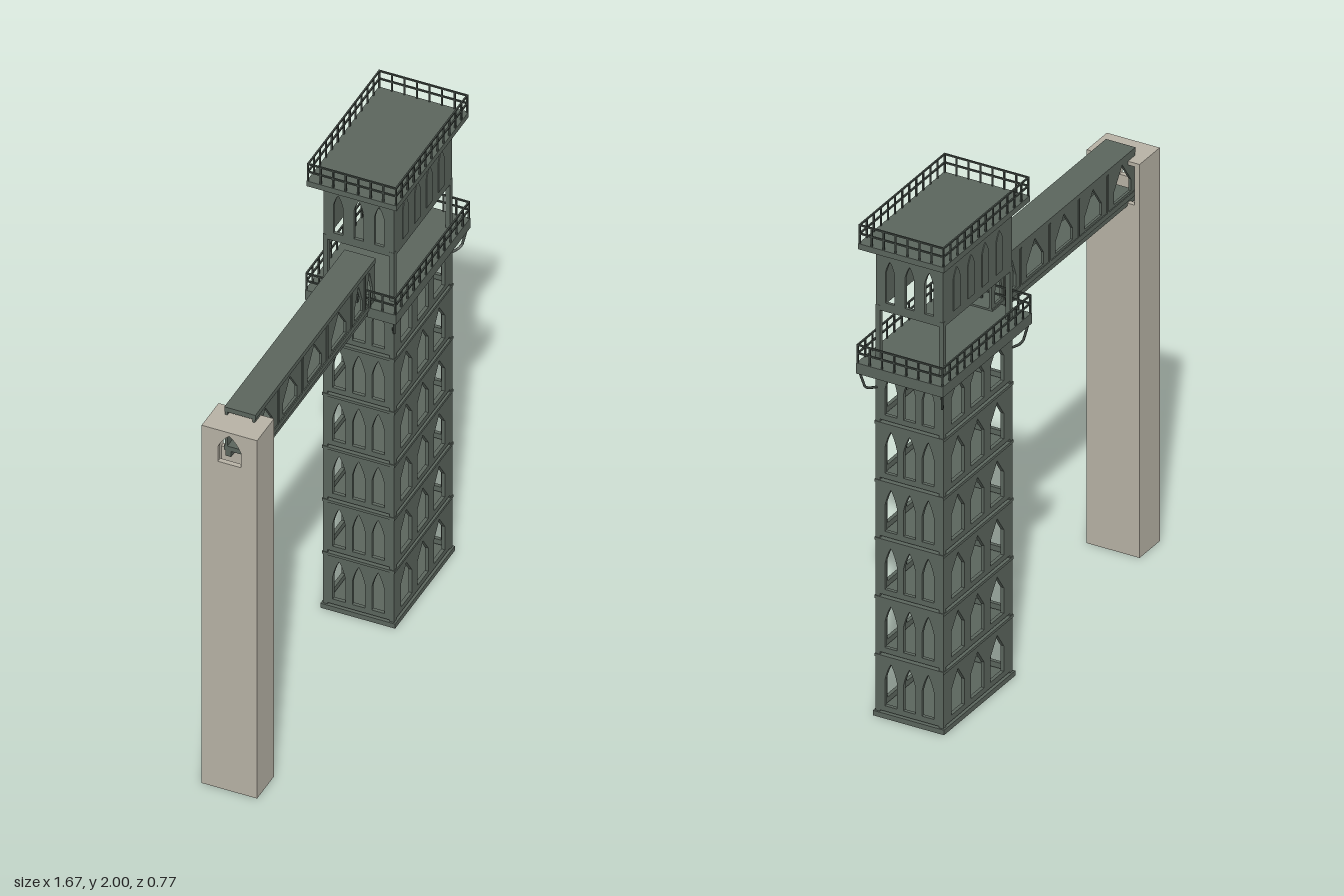
import * as THREE from 'three';
import { mergeGeometries } from 'three/addons/utils/BufferGeometryUtils.js';

const iron = new THREE.MeshStandardMaterial({ color: 0x5b655d });
iron.name = 'green iron';
const railPaint = new THREE.MeshStandardMaterial({ color: 0x414943 });
railPaint.name = 'dark railing';
const stone = new THREE.MeshStandardMaterial({ color: 0xb7b2a5 });
stone.name = 'pale stone';

const W = 0.486, D = 0.275;       // tower plan
const FLOORS = 6, STEP = 0.235, BASE = 0.02;

function add(parent, name, geo, mat, x = 0, y = 0, z = 0, ry = 0) {
  const m = new THREE.Mesh(geo, mat);
  m.name = name;
  m.position.set(x, y, z);
  m.rotation.y = ry;
  parent.add(m);
  return m;
}

// box given by its bottom and top heights
function slab(parent, name, mat, w, d, y0, y1, x = 0, z = 0) {
  return add(parent, name, new THREE.BoxGeometry(w, y1 - y0, d), mat, x, (y0 + y1) / 2, z);
}

// pointed opening; bulge > 0 curves the two sides of the head
function arch(Type, cx, y0, w, h, head, bulge = 0) {
  const p = new Type(), a = w / 2, ys = y0 + h - head;
  const qx = a * (0.5 + bulge), qy = ys + head * (0.5 + bulge);
  p.moveTo(cx - a, y0);
  p.lineTo(cx - a, ys);
  p.quadraticCurveTo(cx - qx, qy, cx, y0 + h);
  p.quadraticCurveTo(cx + qx, qy, cx + a, ys);
  p.lineTo(cx + a, y0);
  p.closePath();
  return p;
}

// upright panel centred on x and z, standing on y = 0
function panel(w, h, t, holes) {
  const s = new THREE.Shape();
  s.moveTo(-w / 2, 0);
  s.lineTo(w / 2, 0);
  s.lineTo(w / 2, h);
  s.lineTo(-w / 2, h);
  s.closePath();
  s.holes = holes;
  const g = new THREE.ExtrudeGeometry(s, { depth: t, bevelEnabled: false, curveSegments: 4 });
  return g.translate(0, 0, -t / 2);
}

// four walls around the tower plan
function fourWalls(parent, name, y, longGeo, endGeo, t) {
  for (const s of [1, -1]) {
    const ry = s > 0 ? 0 : Math.PI;
    add(parent, name + 'LongWall', longGeo, iron, 0, y, s * (D - t) / 2, ry);
    add(parent, name + 'EndWall', endGeo, iron, s * (W - t) / 2, y, 0, ry + Math.PI / 2);
  }
}

// railing around a w by d deck
function railing(parent, name, w, d, y0, y1, nx, nz) {
  const t = 0.006, parts = [];
  const bar = (bx, by, bz, x, y, z) =>
    parts.push(new THREE.BoxGeometry(bx, by, bz).translate(x, y, z));
  const h = y1 - y0;
  for (const s of [1, -1]) {
    for (const y of [y0 + h * 0.52, y1 - t / 2]) {
      bar(w, t, t, 0, y, s * d / 2);
      bar(t, t, d, s * w / 2, y, 0);
    }
    for (let i = 0; i <= nx; i++) bar(t, h, t, -w / 2 + w * i / nx, y0 + h / 2, s * d / 2);
    for (let i = 1; i < nz; i++) bar(t, h, t, s * w / 2, y0 + h / 2, -d / 2 + d * i / nz);
  }
  add(parent, name, mergeGeometries(parts), railPaint);
}

function buildTower() {
  const g = new THREE.Group();
  g.name = 'tower';
  slab(g, 'baseSlab', iron, W + 0.016, D + 0.016, 0, BASE);

  // storeys: four pierced walls with a slab and a narrow slit above
  const t = 0.014, ph = 0.217;
  const longHoles = [-1, 0, 1].map(i => arch(THREE.Path, i * 0.138, 0.022, 0.092, 0.168, 0.065));
  const endHoles = [-1, 0, 1].map(i => arch(THREE.Path, i * 0.076, 0.022, 0.05, 0.172, 0.07, 0.13));
  const longGeo = panel(W - 0.01, ph, t, longHoles), endGeo = panel(D - 0.01, ph, t, endHoles);
  for (let i = 0; i < FLOORS; i++) {
    const f = BASE + i * STEP;
    fourWalls(g, 'storey', f + 0.005, longGeo, endGeo, t);
    if (i < FLOORS - 1) slab(g, 'floorSlab', iron, W + 0.008, D + 0.008, f + 0.219, f + 0.23);
  }

  // corner posts run on through the open storey
  for (const sx of [1, -1]) for (const sz of [1, -1]) {
    slab(g, 'cornerPost', iron, 0.018, 0.018, BASE, 1.66, sx * (W / 2 - 0.008), sz * (D / 2 - 0.008));
    // bent bracket under each corner of the lower deck
    const path = new THREE.CurvePath();
    const pts = [[0.305, 1.405, 0.168], [0.285, 1.34, 0.158], [0.27, 1.33, 0.15], [0.235, 1.325, 0.13]]
      .map(p => new THREE.Vector3(sx * p[0], p[1], sz * p[2]));
    for (let i = 0; i < 3; i++) path.add(new THREE.LineCurve3(pts[i], pts[i + 1]));
    add(g, 'cornerBracket', new THREE.TubeGeometry(path, 12, 0.005, 5), railPaint);
  }

  // lower deck
  slab(g, 'lowerDeck', iron, 0.626, 0.354, 1.402, 1.445);
  railing(g, 'lowerRailing', 0.618, 0.346, 1.445, 1.52, 12, 7);

  // upper cabin, open underneath
  const ch = 0.265, cy = 1.64;
  const cabinHoles = [-1, 0, 1].map(i => arch(THREE.Path, i * 0.08, 0.035, 0.036, 0.17, 0.045, 0.13));
  fourWalls(g, 'cabin', cy, panel(W, ch, 0.012, []), panel(D, ch, 0.012, cabinHoles), 0.012);
  const blind = new THREE.ExtrudeGeometry(arch(THREE.Shape, 0, 0, 0.045, 0.17, 0.04, 0.13),
    { depth: 0.003, bevelEnabled: false, curveSegments: 4 });
  for (const s of [1, -1]) for (let i = 0; i < 4; i++) {
    add(g, 'blindArch', blind, iron, (i - 1.5) * 0.1, cy + 0.035, s * D / 2, s > 0 ? 0 : Math.PI);
  }

  // upper deck
  slab(g, 'upperDeck', iron, 0.606, 0.35, 1.9, 1.923);
  railing(g, 'upperRailing', 0.598, 0.342, 1.923, 2.0, 12, 7);
  return g;
}

function buildBridge() {
  const g = new THREE.Group();
  g.name = 'bridge';
  const x0 = -0.765, x1 = 0.245, len = x1 - x0, mid = (x0 + x1) / 2, w = 0.117;
  slab(g, 'bridgeRoof', iron, len, w + 0.004, 1.603, 1.623, mid);
  slab(g, 'bridgeFloor', iron, len, w + 0.008, 1.432, 1.452, mid);
  for (const s of [1, -1]) slab(g, 'bridgeGirder', iron, len, 0.022, 1.408, 1.433, mid, s * 0.045);

  // pierced side walls with thin posts between the bays
  const bays = [[-0.675, 0.12], [-0.47, 0.12], [-0.265, 0.12], [-0.06, 0.12], [0.105, 0.065], [0.197, 0.05]];
  const holes = bays.map(([x, bw]) => arch(THREE.Path, x - mid, 0.012, bw, 0.132, 0.085));
  const side = panel(len, 0.155, 0.01, holes);
  for (const s of [1, -1]) {
    add(g, 'bridgeSide', side, iron, mid, 1.45, s * (w / 2 - 0.005));
    for (const x of [-0.57, -0.367, -0.162, 0.043, 0.155]) {
      slab(g, 'bridgePost', iron, 0.01, 0.008, 1.435, 1.605, x, s * w / 2);
    }
  }
  return g;
}

function buildPier() {
  const g = new THREE.Group();
  g.name = 'pier';
  const w = 0.142, d = 0.216, h = 1.59, t = 0.02;
  // hollow shaft, with a small arched opening in the outer wall
  for (const s of [1, -1]) slab(g, 'pierSide', stone, w, t, 0, h, 0, s * (d - t) / 2);
  slab(g, 'pierInnerWall', stone, t, d - 2 * t, 0, 1.42, (w - t) / 2);
  const hole = arch(THREE.Path, 0, 1.45, 0.09, 0.125, 0.06, 0.13);
  add(g, 'pierOuterWall', panel(d - 2 * t, h, t, [hole]), stone, -(w - t) / 2, 0, 0, -Math.PI / 2);
  slab(g, 'pierCap', stone, w - t, d - 2 * t, h - 0.015, h, t / 2);
  return g;
}

export function createModel() {
  const model = new THREE.Group();
  model.name = 'liftTower';
  const plan = new THREE.Group();
  plan.name = 'turnedPlan';
  plan.rotation.y = THREE.MathUtils.degToRad(17);
  model.add(plan);

  const tower = buildTower();
  tower.position.set(0.497, 0, 0.018);
  const bridge = buildBridge();
  bridge.position.z = 0.028;
  const pier = buildPier();
  pier.position.set(-0.786, 0, 0.03);
  plan.add(tower, bridge, pier);
  return model;
}
